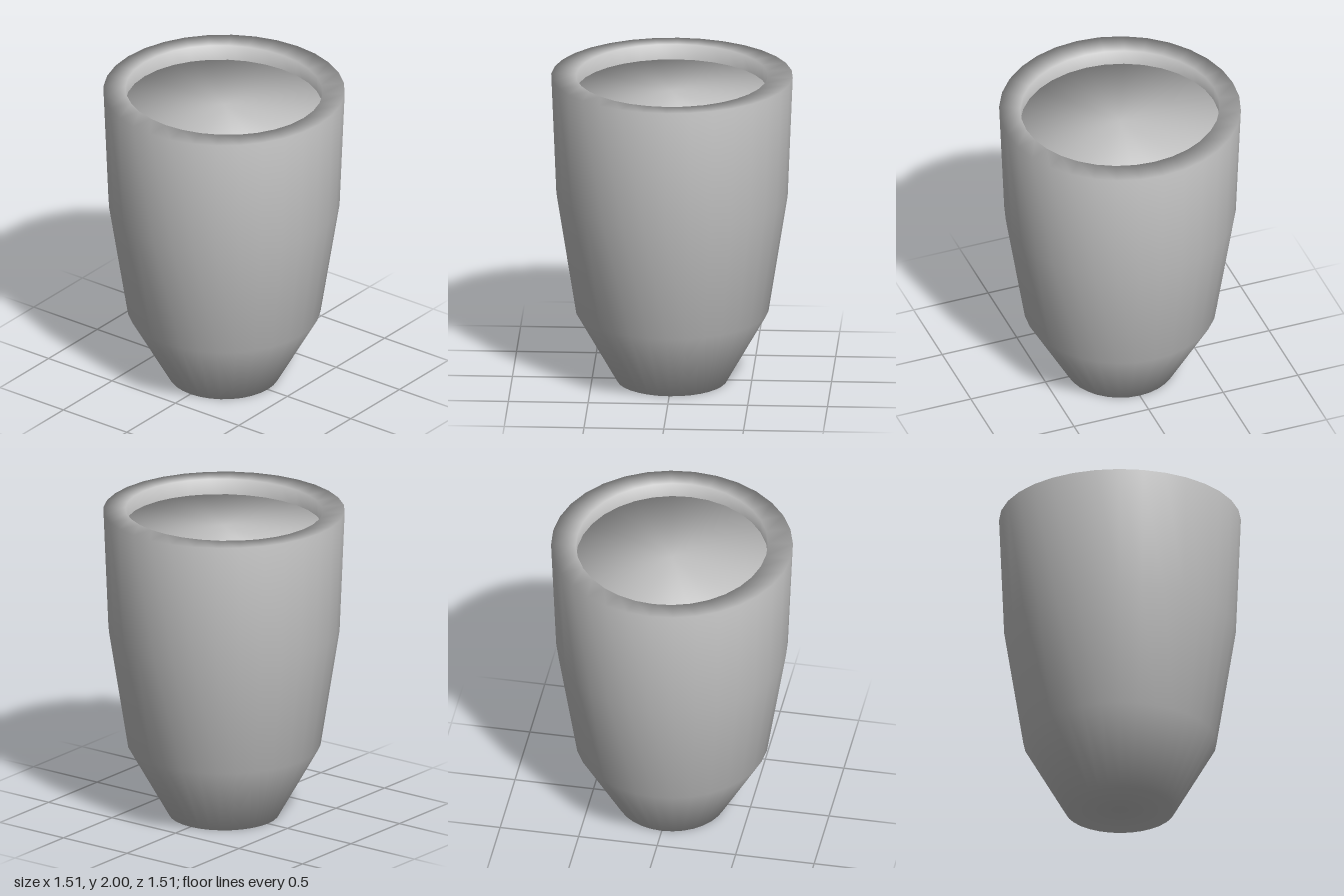
import * as THREE from 'three';

const SIDES = 32;
const INNER = 0.6;    // opening radius across x
const STRETCH = 1.045; // opening is slightly longer in z
const FILL_Y = 1.9;

const grey = new THREE.MeshStandardMaterial({ color: 0xc2c2c2 });
grey.name = 'grey';

function turned(name, profile) {
  const points = profile.map(([r, y]) => new THREE.Vector2(r, y));
  const mesh = new THREE.Mesh(new THREE.LatheGeometry(points, SIDES), grey);
  mesh.name = name;
  return mesh;
}

export function createModel() {
  const model = new THREE.Group();
  model.name = 'planter';

  // Tapered pot: base, three-step wall, flat rim and short inner wall
  const pot = turned('pot', [
    [0, 0], [0.345, 0], [0.605, 0.46], [0.725, 1.22], [0.757, 2],
    [INNER, 2], [INNER, FILL_Y - 0.08],
  ]);
  // Stretch only the inner wall into the oval opening
  const pos = pot.geometry.attributes.position;
  for (let i = 0; i < pos.count; i++) {
    const r = Math.hypot(pos.getX(i), pos.getZ(i));
    if (pos.getY(i) > 1.5 && r < 0.65) pos.setZ(i, pos.getZ(i) * STRETCH);
  }
  model.add(pot);

  // Filling just below the rim, tapering down inside the pot
  const filling = turned('filling', [
    [0, 1.45], [0.34, 1.45], [INNER, FILL_Y], [0, FILL_Y],
  ]);
  filling.geometry.scale(1, 1, STRETCH);
  model.add(filling);

  return model;
}
